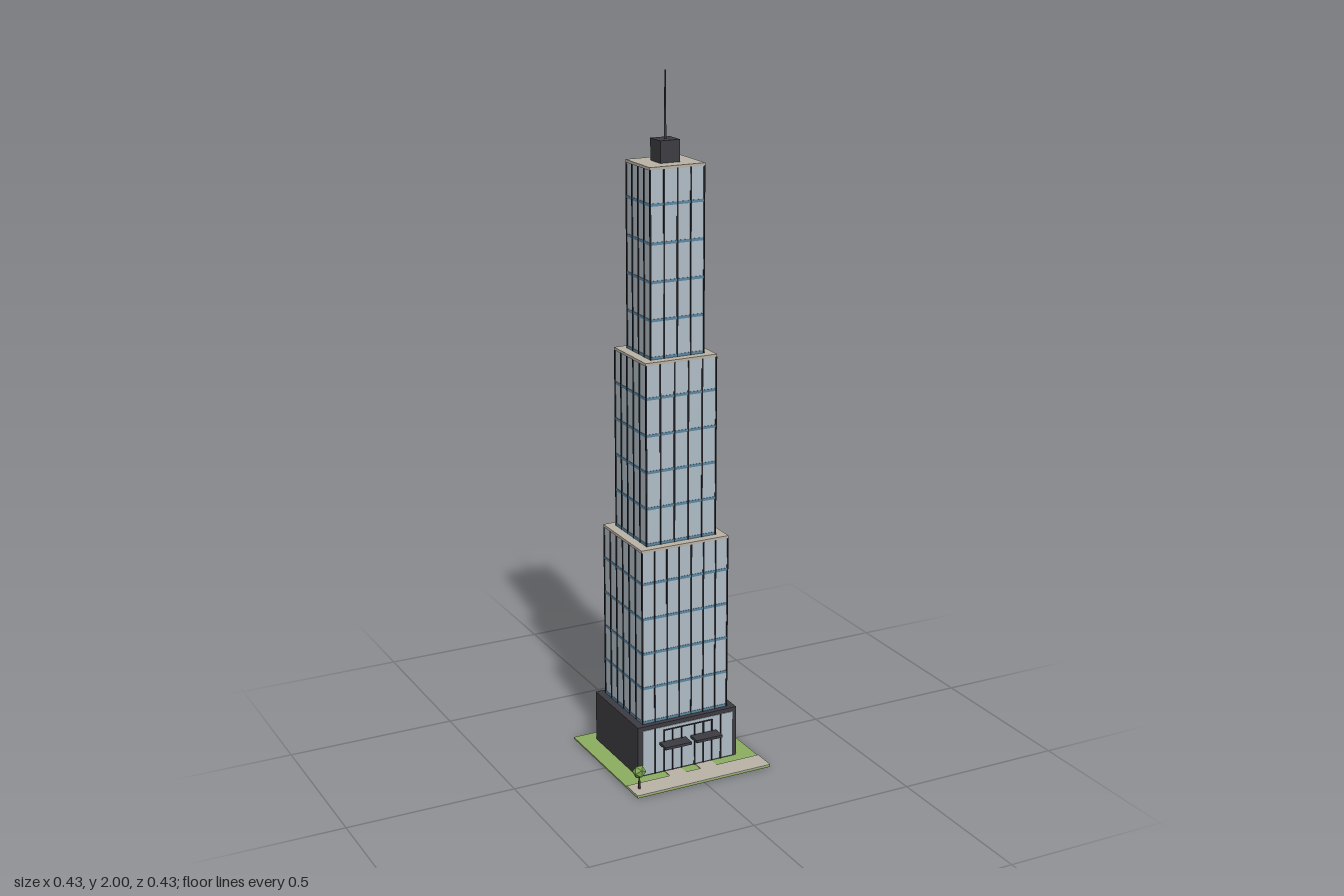
import * as THREE from 'three';

const mat = (name, color, flatShading = false) => {
  const m = new THREE.MeshStandardMaterial({ color, flatShading });
  m.name = name;
  return m;
};

export function createModel() {
  const glass = mat('pale glass', 0xafbcc6);
  const blue = mat('blue floor band', 0x5b87a3);
  const dark = mat('dark cladding', 0x3c3b41);
  const black = mat('mullion black', 0x26262b);
  const stone = mat('warm stone', 0xb9b2a6);
  const grass = mat('grass', 0x8bad60);
  const leaf = mat('foliage', 0x7ba34f, true);
  const bark = mat('bark', 0x4f4036);

  const root = new THREE.Group();
  root.name = 'skyscraper';
  const CZ = -0.032; // centre of the tower in depth

  // Box given by its lower and upper corners
  const box = (parent, name, material, x0, x1, y0, y1, z0, z1) => {
    const m = new THREE.Mesh(new THREE.BoxGeometry(x1 - x0, y1 - y0, z1 - z0), material);
    m.position.set((x0 + x1) / 2, (y0 + y1) / 2, (z0 + z1) / 2);
    m.name = name;
    parent.add(m);
    return m;
  };

  // Ground
  box(root, 'lawn', grass, -0.215, 0.215, 0.001, 0.006, -0.215, 0.215);
  box(root, 'pavement', stone, -0.215, 0.215, 0.006, 0.009, 0.145, 0.215);

  // Base storey
  box(root, 'base', dark, -0.16, 0.16, 0.006, 0.16, -0.173, 0.108);

  // Glazed shop front with mullions, doors and canopies
  const front = new THREE.Group();
  front.name = 'shopFront';
  root.add(front);
  box(front, 'shopGlass', glass, -0.146, 0.146, 0.01, 0.148, 0.107, 0.11);
  for (const x of [-0.107, -0.078, -0.05, -0.021, 0.021, 0.05, 0.078, 0.107]) {
    const top = Math.abs(x) > 0.1 ? 0.148 : 0.137;
    box(front, 'shopMullion', black, x - 0.0018, x + 0.0018, 0.008, top, 0.109, 0.113);
  }
  box(front, 'shopTransom', black, -0.08, 0.08, 0.136, 0.139, 0.109, 0.113);
  for (const s of [-1, 1]) {
    const x = s * 0.05;
    box(front, 'doorHead', black, x - 0.03, x + 0.03, 0.085, 0.089, 0.109, 0.113);
    box(front, 'canopy', dark, x - 0.042, x + 0.042, 0.094, 0.102, 0.108, 0.15);
    box(front, 'doorStep', stone, x - 0.026, x + 0.026, 0, 0.008, 0.112, 0.148);
  }

  // Tower tiers: half width, half depth, bottom, top, bays across and deep
  const tiers = [
    [0.136, 0.122, 0.16, 0.69, 7, 6],
    [0.109, 0.097, 0.69, 1.222, 5, 5],
    [0.082, 0.072, 1.222, 1.754, 4, 4],
  ];
  const FLOORS = 5;
  tiers.forEach(([w, d, y0, y1, nx, nz], i) => {
    const tier = new THREE.Group();
    tier.name = 'tier' + (i + 1);
    tier.position.z = CZ;
    root.add(tier);
    box(tier, 'glassWalls', glass, -w, w, y0, y1 - 0.004, -d, d);
    box(tier, 'roofSlab', stone, -w - 0.002, w + 0.002, y1 - 0.008, y1, -d - 0.002, d + 0.002);

    // Bands between floors
    for (let f = 0; f < FLOORS; f++) {
      const y = y0 + 0.004 + (f * (y1 - y0)) / FLOORS;
      box(tier, 'floorBand', blue, -w - 0.0012, w + 0.0012, y - 0.004, y + 0.004, -d - 0.0012, d + 0.0012);
    }

    // Vertical mullions on all four sides
    const t = 0.0018, out = 0.0026, top = y1 - 0.007;
    for (const s of [-1, 1]) {
      for (let k = 0; k <= nx; k++) {
        const x = -w + (2 * w * k) / nx;
        box(tier, 'mullion', black, x - t, x + t, y0, top, s * d - out, s * d + out);
      }
      for (let k = 1; k < nz; k++) {
        const z = -d + (2 * d * k) / nz;
        box(tier, 'mullion', black, s * w - out, s * w + out, y0, top, z - t, z + t);
      }
    }
  });

  // Plant room and mast
  box(root, 'plantRoom', dark, -0.03, 0.03, 1.754, 1.815, CZ - 0.03, CZ + 0.03);
  const mast = new THREE.Mesh(new THREE.CylinderGeometry(0.002, 0.0035, 0.185, 8), dark);
  mast.name = 'mast';
  mast.position.set(0, 1.9075, CZ);
  root.add(mast);

  // Street tree
  const tree = new THREE.Group();
  tree.name = 'tree';
  tree.position.set(-0.191, 0.008, 0.177);
  const trunk = new THREE.Mesh(new THREE.CylinderGeometry(0.0025, 0.0035, 0.04, 6), bark);
  trunk.name = 'trunk';
  trunk.position.y = 0.02;
  const crown = new THREE.Mesh(new THREE.IcosahedronGeometry(0.02, 0), leaf);
  crown.name = 'crown';
  crown.position.y = 0.054;
  tree.add(trunk, crown);
  root.add(tree);

  return root;
}
